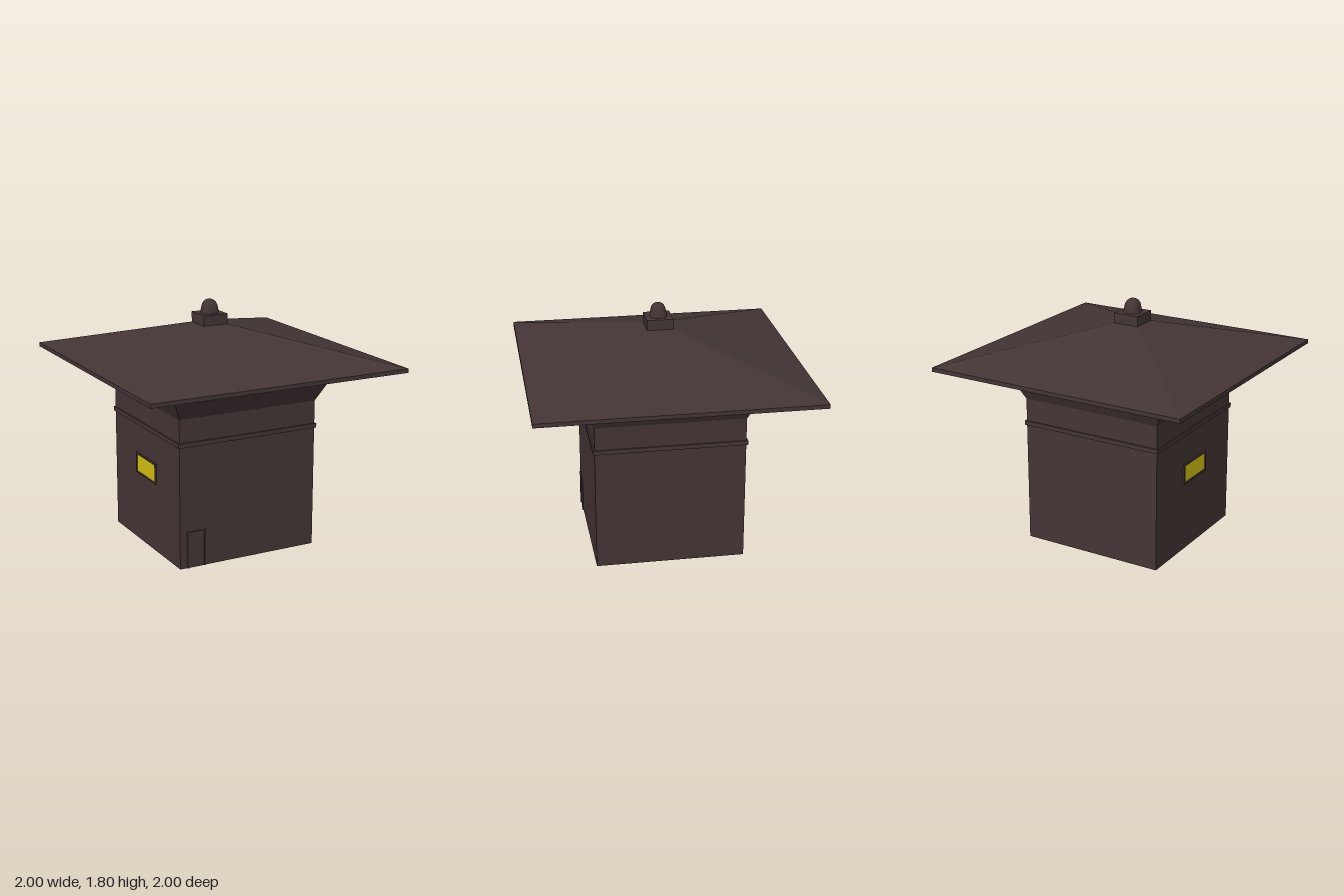
import * as THREE from 'three';

const dark = new THREE.MeshStandardMaterial({ color: 0x443535, flatShading: true, side: THREE.DoubleSide });
const darkSmooth = new THREE.MeshStandardMaterial({ color: 0x443535 });
const yellow = new THREE.MeshStandardMaterial({ color: 0xd8c410 });

function add(parent, name, geometry, material = dark, x = 0, y = 0, z = 0) {
  const mesh = new THREE.Mesh(geometry, material);
  mesh.name = name;
  mesh.position.set(x, y, z);
  parent.add(mesh);
  return mesh;
}

// Four-sided shell through rectangular rings [y, centreX, halfX, halfZ]
function squareShell(rings, capBottom = false, capTop = false) {
  const pos = [];
  const corner = ([y, cx, hx, hz], i) => {
    const s = [[-1, 1], [1, 1], [1, -1], [-1, -1]][i % 4];
    return [cx + s[0] * hx, y, s[1] * hz];
  };
  const quad = (a, b, c, d) => pos.push(...a, ...b, ...c, ...a, ...c, ...d);
  for (let r = 0; r < rings.length - 1; r++) {
    for (let i = 0; i < 4; i++) {
      quad(corner(rings[r], i), corner(rings[r], i + 1), corner(rings[r + 1], i + 1), corner(rings[r + 1], i));
    }
  }
  const first = rings[0], last = rings[rings.length - 1];
  if (capBottom) quad(corner(first, 3), corner(first, 2), corner(first, 1), corner(first, 0));
  if (capTop) quad(corner(last, 0), corner(last, 1), corner(last, 2), corner(last, 3));
  const g = new THREE.BufferGeometry();
  g.setAttribute('position', new THREE.Float32BufferAttribute(pos, 3));
  g.computeVertexNormals();
  return g;
}

// Rectangular frame in the xy plane, standing on y = 0; sill sets the lower bar
function frame(w, h, bar, depth, sill) {
  const rect = (P, x, y0, y1) => {
    const p = new P();
    p.moveTo(-x, y0); p.lineTo(x, y0); p.lineTo(x, y1); p.lineTo(-x, y1); p.closePath();
    return p;
  };
  if (!sill) {
    const s = new THREE.Shape();
    const a = w / 2, b = a - bar;
    [[-a, 0], [-b, 0], [-b, h - bar], [b, h - bar], [b, 0], [a, 0], [a, h], [-a, h]]
      .forEach(([x, y], i) => (i ? s.lineTo(x, y) : s.moveTo(x, y)));
    s.closePath();
    return new THREE.ExtrudeGeometry(s, { depth, bevelEnabled: false }).translate(0, 0, -depth / 2);
  }
  const s = rect(THREE.Shape, w / 2, 0, h);
  s.holes.push(rect(THREE.Path, w / 2 - bar, bar, h - bar));
  return new THREE.ExtrudeGeometry(s, { depth, bevelEnabled: false }).translate(0, 0, -depth / 2);
}

export function createModel() {
  const model = new THREE.Group();
  model.name = 'tower';
  const cx = -0.03, half = 0.545, capX = -0.055;

  // Hollow body, open underneath, flaring out below the roof
  add(model, 'walls', squareShell([[0, cx, half, half], [1.1, cx, half, half]]));
  add(model, 'flare', squareShell([[1.1, cx, half, half], [1.35, -0.023, 0.662, 0.66]]));

  // Thin band around the walls
  const o = half + 0.011;
  add(model, 'band', squareShell([
    [0.898, cx, half, half], [0.898, cx, o, o], [0.93, cx, o, o], [0.93, cx, half, half],
  ]));

  // Hipped roof with a thin eave edge, its peak slightly off centre
  add(model, 'roof', squareShell([
    [1.35, 0, 1, 1], [1.38, 0, 1, 1], [1.627, capX, 0.096, 0.096],
  ], true, true));

  // Block at the peak
  add(model, 'roofCap', new THREE.BoxGeometry(0.192, 0.085, 0.192), dark, capX, 1.66, 0);

  // Rounded finial, its section pushed towards a soft square
  const profile = new THREE.SplineCurve([
    [0.061, 0], [0.057, 0.03], [0.049, 0.066], [0.034, 0.088], [0.016, 0.099], [0, 0.103],
  ].map(([x, y]) => new THREE.Vector2(x, y))).getPoints(15);
  profile[profile.length - 1].x = 0;
  const finial = new THREE.LatheGeometry(profile, 32);
  const p = finial.attributes.position;
  for (let i = 0; i < p.count; i++) {
    const a = Math.atan2(p.getZ(i), p.getX(i));
    const k = Math.pow(Math.abs(Math.cos(a)) ** 3 + Math.abs(Math.sin(a)) ** 3, -1 / 3);
    p.setX(i, p.getX(i) * k);
    p.setZ(i, p.getZ(i) * k);
  }
  finial.computeVertexNormals();
  add(model, 'finial', finial, darkSmooth, capX, 1.702, 0);

  // Door at the front corner
  const door = new THREE.Group();
  door.name = 'door';
  door.position.set(-0.447, 0, half);
  add(door, 'doorFrame', frame(0.145, 0.272, 0.012, 0.02, false));
  add(door, 'doorPanel', new THREE.BoxGeometry(0.121, 0.26, 0.006), dark, 0, 0.13, 0);
  model.add(door);

  // Lit window on the side wall
  const win = new THREE.Group();
  win.name = 'window';
  win.position.set(cx - half, 0.522, 0.005);
  win.rotation.y = -Math.PI / 2;
  add(win, 'windowFrame', frame(0.33, 0.155, 0.012, 0.024, true));
  add(win, 'windowPane', new THREE.BoxGeometry(0.306, 0.131, 0.008), yellow, 0, 0.0775, 0.002);
  model.add(win);

  return model;
}
